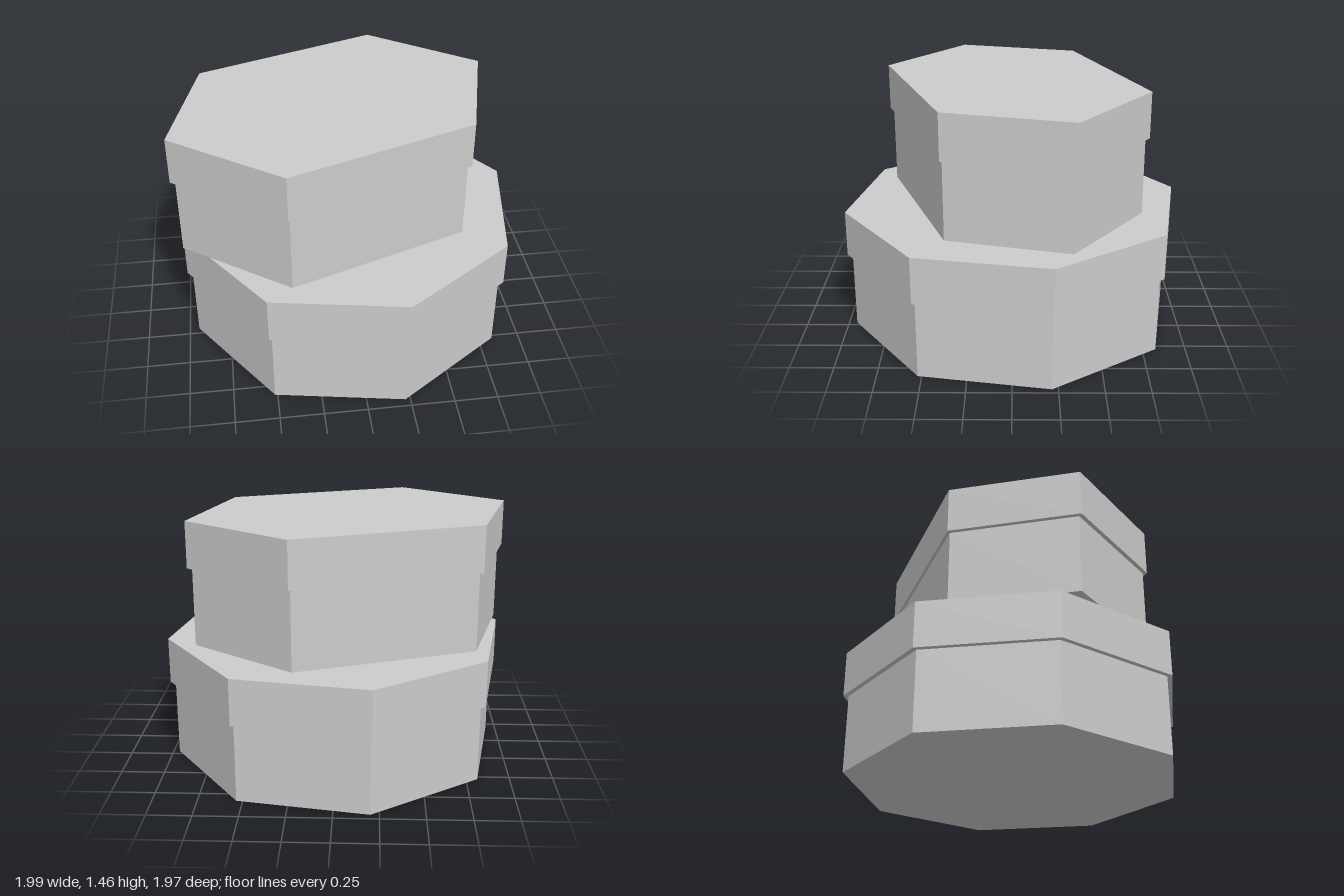
import * as THREE from 'three';

const material = new THREE.MeshStandardMaterial({ color: 0xcccccc, flatShading: true });

// Upright prism over an outline of [x, z] points, scaled about its own centre.
function prism(name, outline, scale, centre, bottom, top) {
  const shape = new THREE.Shape(outline.map(([x, z]) => new THREE.Vector2(x * scale, -z * scale)));
  const geometry = new THREE.ExtrudeGeometry(shape, { depth: top - bottom, bevelEnabled: false });
  geometry.rotateX(-Math.PI / 2);
  const mesh = new THREE.Mesh(geometry, material);
  mesh.name = name;
  mesh.position.set(centre[0], bottom, centre[1]);
  return mesh;
}

// A tier: slightly inset body with a wider rim slab on top.
function tier(name, outline, centre, bottom) {
  const group = new THREE.Group();
  group.name = name;
  group.add(
    prism(name + 'Body', outline, 0.97, centre, bottom, bottom + 0.458),
    prism(name + 'Rim', outline, 1, centre, bottom + 0.458, bottom + 0.728),
  );
  return group;
}

export function createModel() {
  const model = new THREE.Group();
  model.name = 'twoTierBlock';

  // Regular octagon, turned a little.
  const octagon = Array.from({ length: 8 }, (_, i) => {
    const a = THREE.MathUtils.degToRad(12.5) + (i * Math.PI) / 4;
    return [1.008 * Math.sin(a), 1.008 * Math.cos(a)];
  });

  // Elongated hexagon, symmetric under a half turn.
  const half = [[0.92, -0.333], [0.735, 0.387], [-0.315, 0.772]];
  const hexagon = [...half, ...half.map(([x, z]) => [-x, -z])];

  model.add(
    tier('lowerTier', octagon, [0.01, -0.003], 0),
    tier('upperTier', hexagon, [-0.08, -0.002], 0.728),
  );
  return model;
}
